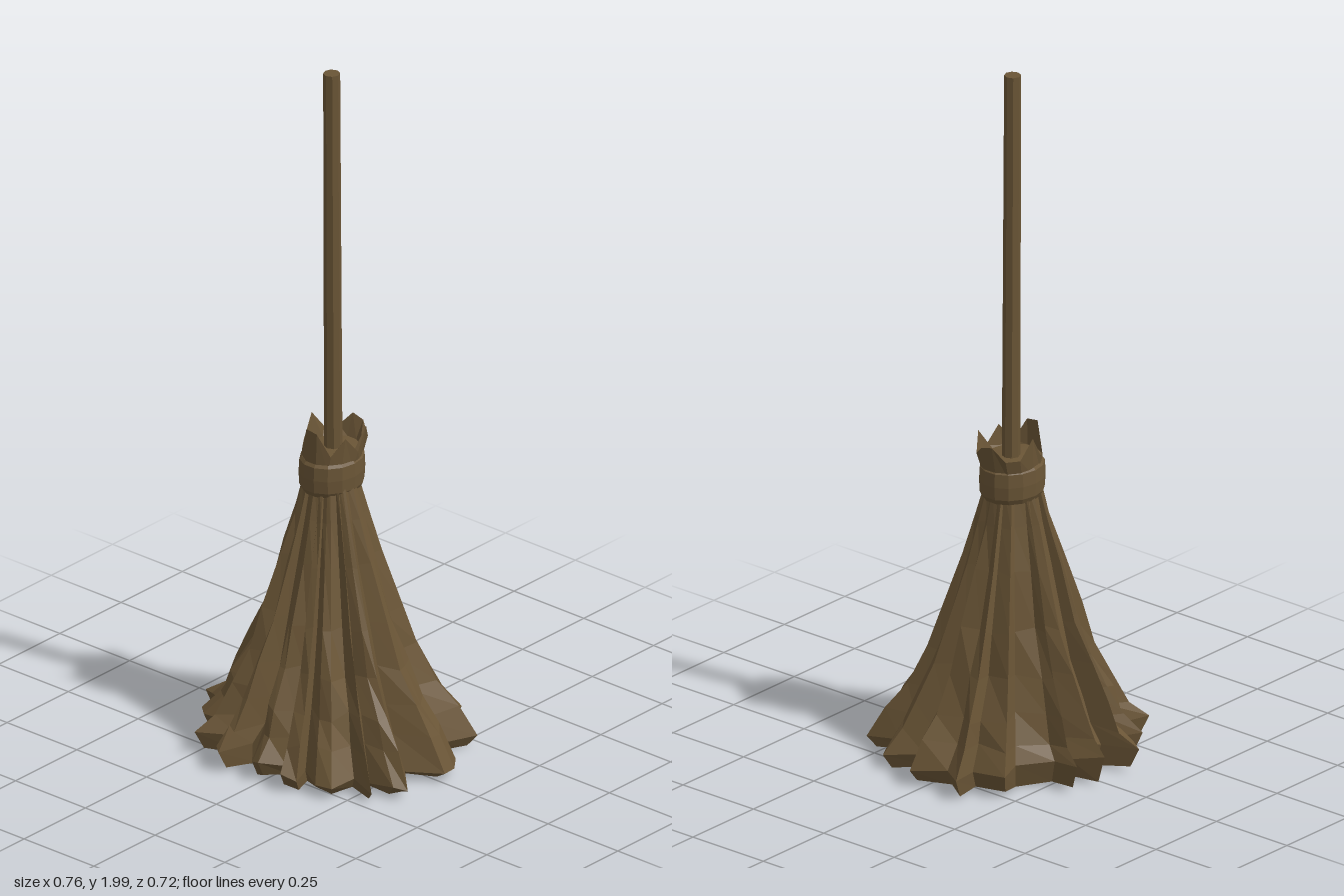
import * as THREE from 'three';

const CX = -0.03; // axis of the bristle head

// Ragged hem outline, [x, z] pairs running counter-clockwise seen from above
const HEM = [
  [0.38, 0], [0.37, -0.05], [0.34, -0.09], [0.25, -0.09], [0.295, -0.23], [0.2, -0.2], [0.155, -0.215],
  [0.16, -0.32], [0.175, -0.29], [0.06, -0.265], [0.03, -0.36], [-0.07, -0.32], [-0.13, -0.355],
  [-0.125, -0.28], [-0.23, -0.27], [-0.2, -0.19], [-0.27, -0.11], [-0.35, -0.11], [-0.28, -0.06],
  [-0.37, -0.02], [-0.29, 0.02], [-0.28, 0.07], [-0.385, 0.105], [-0.345, 0.125], [-0.27, 0.13],
  [-0.32, 0.195], [-0.3, 0.21], [-0.21, 0.2], [-0.245, 0.31], [-0.14, 0.25], [-0.14, 0.34], [-0.12, 0.355],
  [-0.08, 0.26], [-0.03, 0.32], [0, 0.33], [0.05, 0.27], [0.08, 0.33], [0.12, 0.31], [0.1, 0.25],
  [0.17, 0.29], [0.22, 0.28], [0.23, 0.2], [0.315, 0.225], [0.26, 0.17], [0.34, 0.165], [0.37, 0.14],
  [0.29, 0.06],
].sort((p, q) => Math.atan2(-p[1], p[0] - CX) - Math.atan2(-q[1], q[0] - CX));

function seeded(seed) {
  let s = seed;
  return () => (s = (s * 16807) % 2147483647) / 2147483647;
}

// Skin closed rings of [x, y, z] points with flat facets
function loft(rings) {
  const pos = [];
  for (let r = 0; r < rings.length - 1; r++) {
    const lo = rings[r], hi = rings[r + 1], n = lo.length;
    for (let i = 0; i < n; i++) {
      const j = (i + 1) % n;
      pos.push(...lo[i], ...lo[j], ...hi[i], ...lo[j], ...hi[j], ...hi[i]);
    }
  }
  const g = new THREE.BufferGeometry();
  g.setAttribute('position', new THREE.Float32BufferAttribute(pos, 3));
  g.computeVertexNormals();
  return g;
}

// Fluted skirt of bristles with a rough underside
function bristleGeometry() {
  const rand = seeded(71);
  const mean = 0.305;
  const polar = HEM.map(([x, z]) => ({ a: Math.atan2(-z, x - CX), r: Math.hypot(x - CX, z) }));
  const at = (a, r, y) => [CX + Math.cos(a) * r, y, -Math.sin(a) * r];
  const rings = [
    polar.map(p => at(p.a, 0, 0.05)),
    polar.map((p, i) => at(p.a, 0.1 + 0.03 * rand(), i % 5 < 2 ? 0.025 : 0.08)),
    polar.map((p, i) => at(p.a, p.r * 0.65, i % 3 ? 0.025 : 0.08)),
    polar.map(p => at(p.a, p.r * 0.93, 0.005 + 0.02 * rand())),
  ];
  // widest line of the hem, lifted towards the model's right
  rings.push(polar.map(p => at(p.a, p.r, 0.025 + 0.025 * (1 - Math.cos(p.a)) + 0.02 * rand())));
  // [height, mean radius, flute depth, jitter]
  const levels = [
    [0.125, 0.266, 0.95, 0.02], [0.2, 0.235, 0.88, 0.025], [0.3, 0.196, 0.8, 0.02],
    [0.42, 0.16, 0.72, 0.015], [0.58, 0.12, 0.6, 0.01], [0.7, 0.091, 0.45, 0.006], [0.8, 0.07, 0.3, 0],
  ];
  for (const [y, r, depth, jit] of levels) {
    rings.push(polar.map(p => at(p.a,
      r * (1 + depth * (p.r / mean - 1)) + (rand() - 0.5) * jit, y + (rand() - 0.5) * jit)));
  }
  return loft(rings);
}

// Ring of 14 points round the neck; y is one height or a list of heights
function ring(r, y, dz = -0.006) {
  return Array.from({ length: 14 }, (_, i) => {
    const a = (i / 14) * Math.PI * 2;
    return [CX + Math.cos(a) * r, Array.isArray(y) ? y[i] : y, dz - Math.sin(a) * r * 1.17];
  });
}

export function createModel() {
  const model = new THREE.Group();
  const brown = new THREE.MeshStandardMaterial({ color: 0x6a5536, side: THREE.DoubleSide });
  brown.name = 'straw brown';
  brown.flatShading = true;
  const add = (name, geometry) => {
    const mesh = new THREE.Mesh(geometry, brown);
    mesh.name = name;
    model.add(mesh);
    return mesh;
  };

  add('bristles', bristleGeometry());

  // Binding band round the neck
  add('bindingBand', loft([
    [0.068, 0.79], [0.075, 0.768], [0.082, 0.783], [0.084, 0.82], [0.082, 0.858], [0.076, 0.866], [0.07, 0.86],
  ].map(([r, y]) => ring(r, y))));

  // Jagged cut ends above the band, flaring thinly round a recessed floor
  const tips = [0.89, 0.95, 0.9, 0.93, 0.94, 0.9, 0.9, 0.955, 0.89, 0.88, 0.96, 0.955, 0.89, 0.94];
  add('strawEnds', loft([ring(0.075, 0.84), ring(0.083, tips, -0.018), ring(0.071, 0.88), ring(0, 0.885)]));

  // Long stick, leaning very slightly
  const stick = add('handle', new THREE.CylinderGeometry(0.023, 0.025, 1.2, 8));
  stick.geometry.translate(0, 0.6, 0);
  stick.position.set(-0.031, 0.8, -0.013);
  stick.rotation.z = 0.005;

  return model;
}
